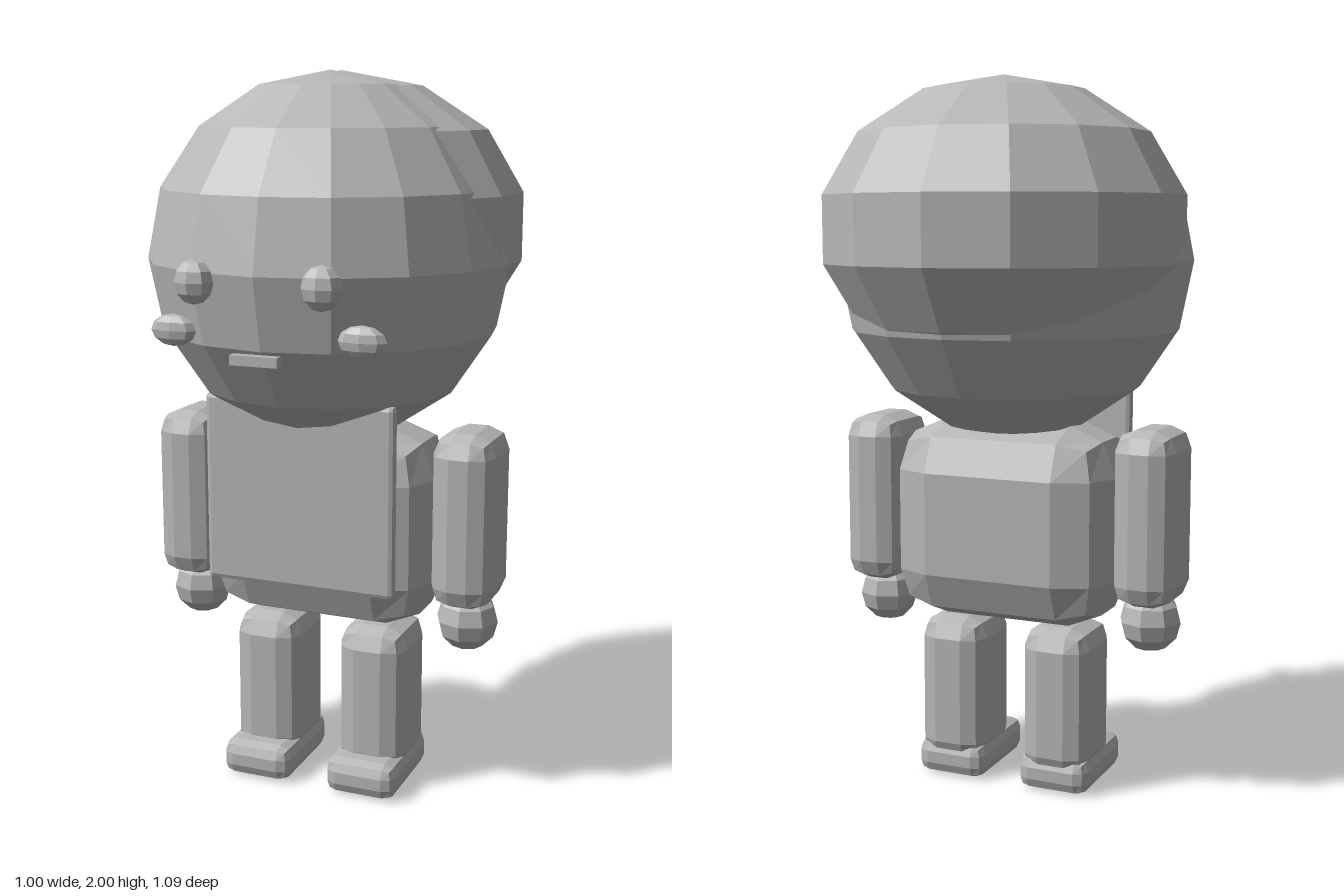
import * as THREE from 'three';
import { RoundedBoxGeometry } from 'three/addons/geometries/RoundedBoxGeometry.js';

const grey = new THREE.MeshStandardMaterial({ color: 0xb8b8b8, flatShading: true });
grey.name = 'plainGrey';

export function createModel() {
  const group = new THREE.Group();
  group.name = 'figure';

  const add = (name, geometry, position) => {
    const mesh = new THREE.Mesh(geometry, grey);
    mesh.name = name;
    mesh.position.set(...position);
    group.add(mesh);
  };

  // Faceted ellipsoid with a vertex column on the front and back
  const ball = (name, position, radii, columns, rows) =>
    add(name, new THREE.SphereGeometry(1, columns, rows).rotateY(Math.PI / 2).scale(...radii), position);

  // Box with two facets along each edge
  const block = (name, position, size, radius) =>
    add(name, new RoundedBoxGeometry(...size, 1, radius), position);

  // Head and the hair cap set slightly behind it
  ball('head', [0, 1.5, 0.02], [0.5, 0.5, 0.5], 16, 8);
  ball('hair', [0, 1.585, -0.06], [0.515, 0.415, 0.5], 14, 7);

  // Mouth
  add('mouth', new THREE.BoxGeometry(0.13, 0.026, 0.026), [0, 1.292, 0.512]);

  // Torso and front panel
  block('torso', [0, 0.765, 0.015], [0.66, 0.57, 0.39], 0.14);
  block('frontPanel', [0, 0.88, 0.238], [0.55, 0.53, 0.036], 0.014);

  // Mirrored parts
  for (const [side, s] of [['left', 1], ['right', -1]]) {
    ball(side + 'Eye', [s * 0.173, 1.478, 0.498], [0.055, 0.057, 0.043], 8, 6);
    ball(side + 'Cheek', [s * 0.26, 1.345, 0.448], [0.065, 0.042, 0.026], 8, 6);
    block(side + 'Arm', [s * 0.415, 0.805, 0.018], [0.175, 0.49, 0.25], 0.06);
    ball(side + 'Hand', [s * 0.413, 0.508, 0.018], [0.088, 0.088, 0.088], 8, 6);
    block(side + 'Leg', [s * 0.16, 0.26, 0.02], [0.2, 0.43, 0.25], 0.06);
    block(side + 'Foot', [s * 0.16, 0.052, 0.057], [0.208, 0.104, 0.315], 0.035);
  }
  return group;
}
